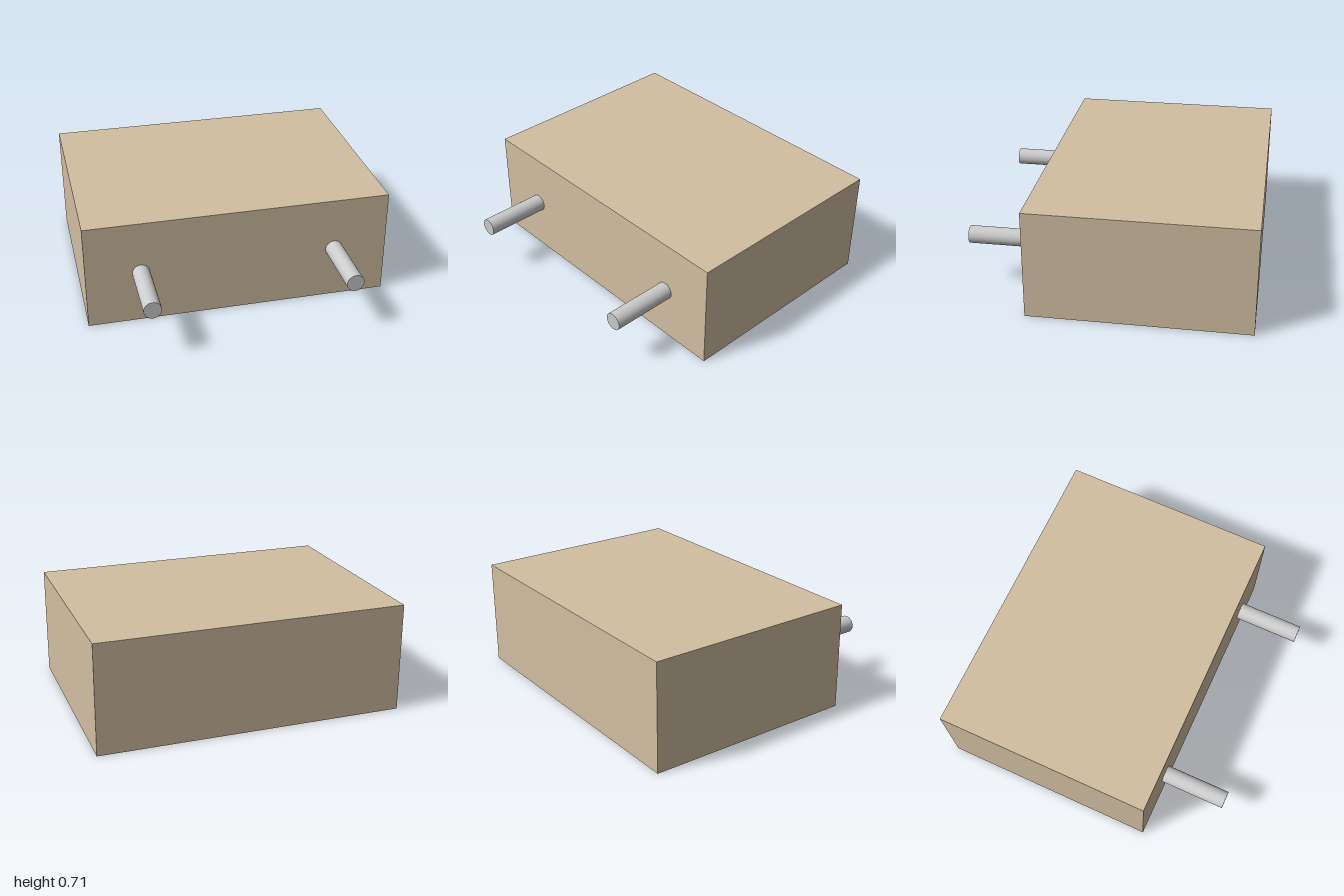
import * as THREE from 'three';

export function createModel() {
  const model = new THREE.Group();
  const wood = new THREE.MeshStandardMaterial({ color: 0xd2bfa2 });
  const metal = new THREE.MeshStandardMaterial({ color: 0xcccccc });

  const width = 2, height = 0.714, depth = 1.429;
  const frontZ = 0.5, pinLength = 0.429, pinRadius = 0.057;

  // Solid block
  const block = new THREE.Mesh(new THREE.BoxGeometry(width, height, depth), wood);
  block.name = 'block';
  block.position.set(0, height / 2, frontZ - depth / 2);
  model.add(block);

  // Pair of round pins standing out of the front face
  const pinGeometry = new THREE.CylinderGeometry(pinRadius, pinRadius, pinLength, 32).rotateX(Math.PI / 2);
  for (const side of [-1, 1]) {
    const pin = new THREE.Mesh(pinGeometry, metal);
    pin.name = side > 0 ? 'leftPin' : 'rightPin';
    pin.position.set(side * 0.643, height / 2, frontZ + pinLength / 2);
    model.add(pin);
  }

  return model;
}
